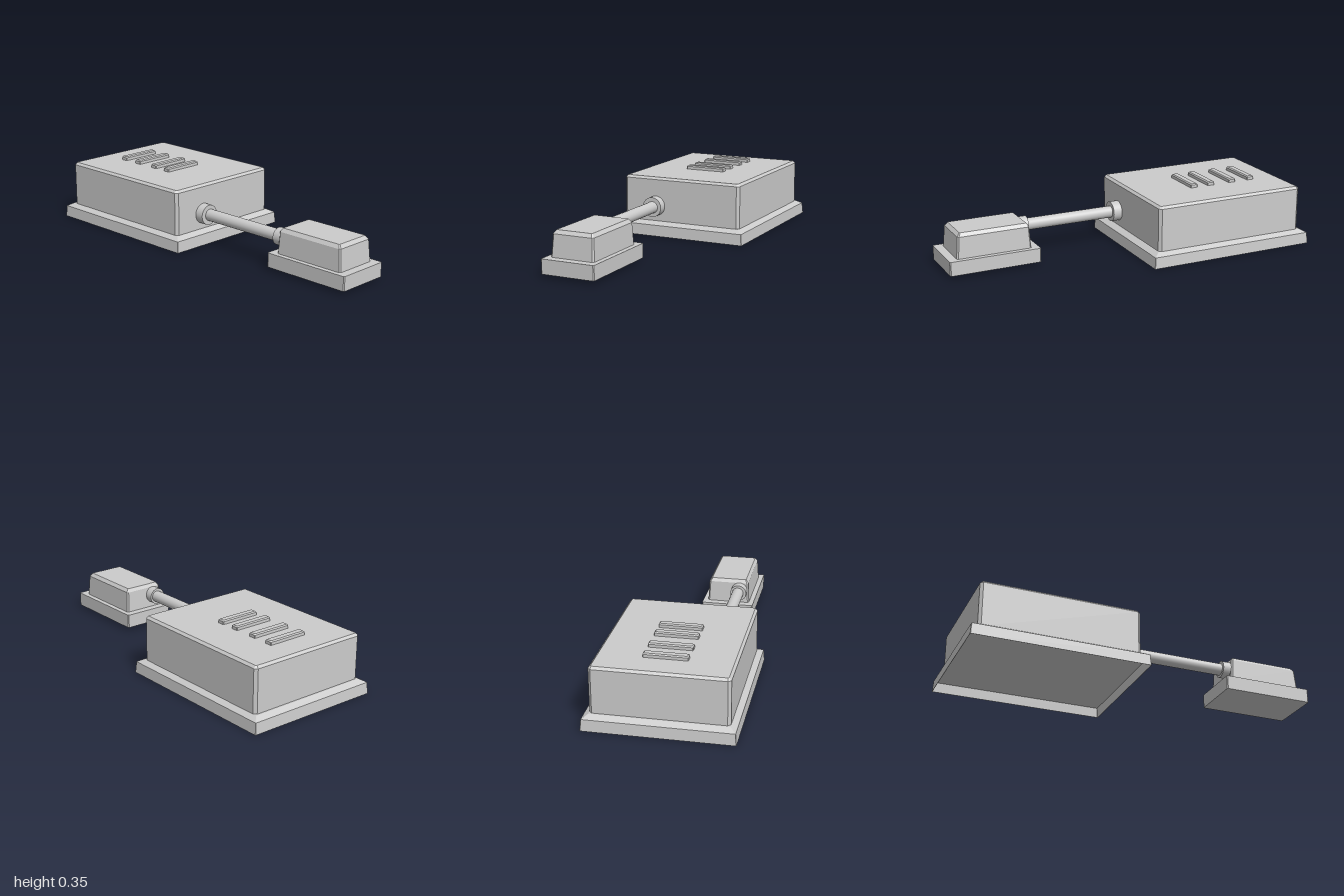
import * as THREE from 'three';

const material = new THREE.MeshStandardMaterial({ color: 0xcccccc });
const flat = new THREE.MeshStandardMaterial({ color: 0xcccccc, flatShading: true });

// Rectangle with cut corners, wound counter-clockwise seen from above
function section([y, x0, x1, z0, z1, c]) {
  return [
    [x0 + c, y, z1], [x1 - c, y, z1], [x1, y, z1 - c], [x1, y, z0 + c],
    [x1 - c, y, z0], [x0 + c, y, z0], [x0, y, z0 + c], [x0, y, z1 - c],
  ];
}

// Closed solid through levels [y, xMin, xMax, zMin, zMax, cornerCut], first level capped below, last above
function loft(name, levels) {
  const rings = levels.map(section);
  const n = 8, last = rings.length - 1, pos = [];
  const tri = (a, b, c) => pos.push(...a, ...b, ...c);
  for (let r = 0; r < last; r++) {
    for (let i = 0; i < n; i++) {
      const j = (i + 1) % n, lo = rings[r], hi = rings[r + 1];
      tri(lo[i], lo[j], hi[j]);
      tri(lo[i], hi[j], hi[i]);
    }
  }
  for (let i = 1; i < n - 1; i++) {
    tri(rings[0][0], rings[0][i + 1], rings[0][i]);
    tri(rings[last][0], rings[last][i], rings[last][i + 1]);
  }
  const geometry = new THREE.BufferGeometry();
  geometry.setAttribute('position', new THREE.Float32BufferAttribute(pos, 3));
  geometry.computeVertexNormals();
  const mesh = new THREE.Mesh(geometry, flat);
  mesh.name = name;
  return mesh;
}

// Cylinder lying along z, on the cable axis
function rod(name, x, radius, z0, z1) {
  const geometry = new THREE.CylinderGeometry(radius, radius, z1 - z0, 32);
  geometry.rotateX(Math.PI / 2);
  const mesh = new THREE.Mesh(geometry, material);
  mesh.position.set(x, 0.167, (z0 + z1) / 2);
  mesh.name = name;
  return mesh;
}

export function createModel() {
  const model = new THREE.Group();
  model.name = 'boxWithCable';

  // Flared base, hollow underneath: ceiling, inner wall, thin rim, outer wall, slope
  model.add(loft('base', [
    [0.055, -0.382, 0.382, -0.993, -0.034, 0.002],
    [0, -0.387, 0.387, -0.998, -0.029, 0.002],
    [0, -0.389, 0.389, -1, -0.027, 0.002],
    [0.062, -0.384, 0.384, -0.995, -0.032, 0.002],
    [0.08, -0.353, 0.353, -0.963, -0.064, 0.002],
  ]));

  // Main housing
  model.add(loft('housing', [
    [0.07, -0.353, 0.353, -0.953, -0.07, 0.015],
    [0.317, -0.353, 0.353, -0.953, -0.07, 0.015],
    [0.33, -0.34, 0.34, -0.94, -0.083, 0.005],
  ]));

  // Raised bars on the lid
  for (const z of [-0.776, -0.656, -0.519, -0.412]) {
    model.add(loft('lidBar', [
      [0.325, -0.116, 0.115, z - 0.021, z + 0.021, 0.003],
      [0.346, -0.116, 0.115, z - 0.021, z + 0.021, 0.003],
      [0.352, -0.11, 0.109, z - 0.015, z + 0.015, 0.002],
    ]));
  }

  // Small end block
  model.add(loft('endBlockBase', [
    [0.017, -0.241, 0.059, 0.49, 1, 0.005],
    [0.095, -0.241, 0.059, 0.49, 1, 0.005],
  ]));
  model.add(loft('endBlockTop', [
    [0.09, -0.214, 0.031, 0.533, 0.952, 0.008],
    [0.213, -0.207, 0.025, 0.541, 0.942, 0.008],
    [0.232, -0.193, 0.01, 0.553, 0.926, 0.004],
  ]));

  // Cable with a collar at each end
  model.add(rod('cable', -0.153, 0.033, -0.08, 0.56));
  model.add(rod('housingCollar', -0.156, 0.056, -0.08, -0.02));
  model.add(rod('endBlockCollar', -0.156, 0.047, 0.492, 0.555));

  return model;
}
